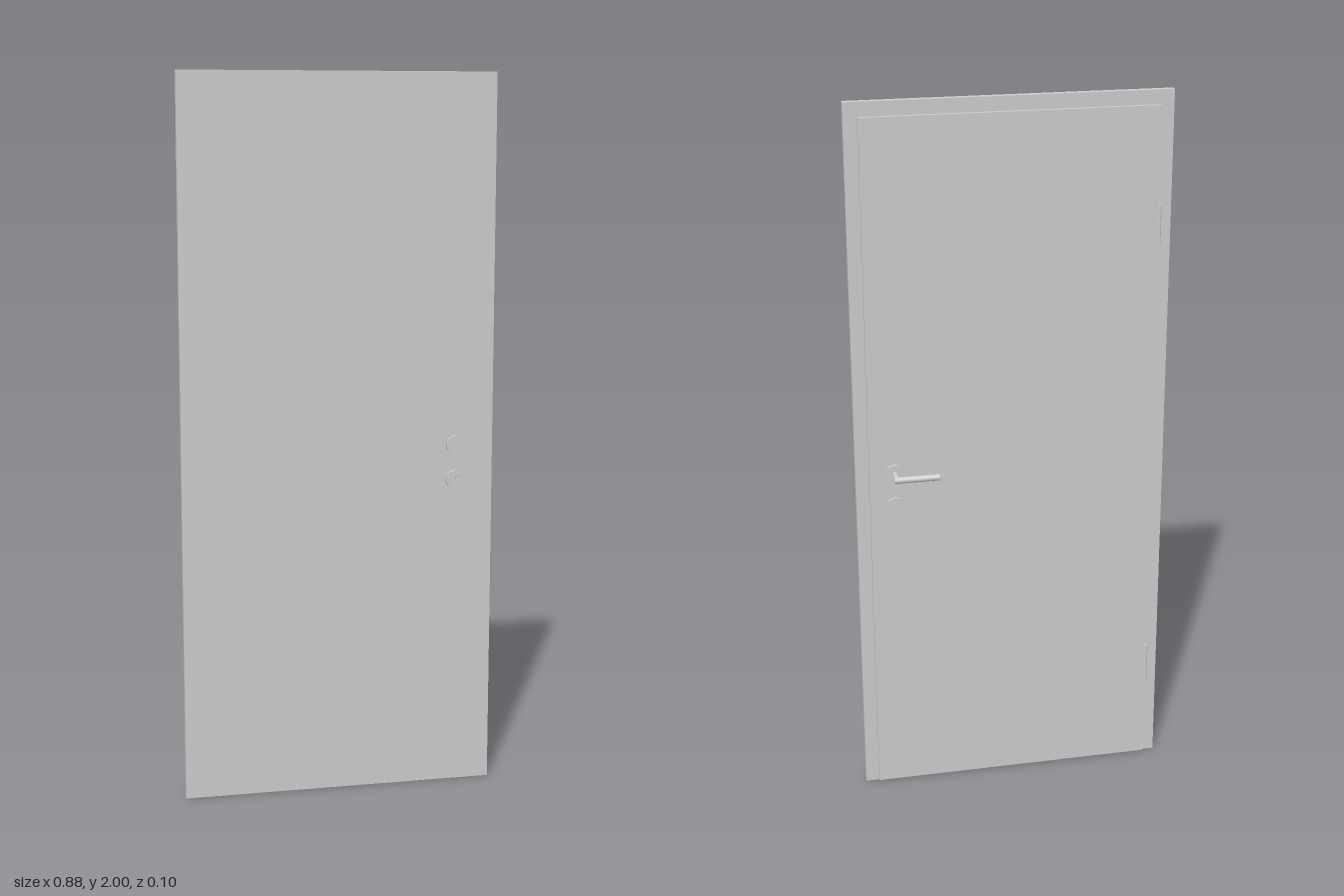
import * as THREE from 'three';

const material = new THREE.MeshStandardMaterial({ color: 0xcccccc });
const HX = 0.331, HANDLE_Y = 0.978, KEY_Y = 0.88, ROD = 0.009, LEVER_Z = -0.041;
const FRONT = 0.038, MID = 0.019, BACK = 0.008;

export function createModel() {
  const door = new THREE.Group();
  door.name = 'door';

  const add = (name, geometry, x = 0, y = 0, z = 0) => {
    const mesh = new THREE.Mesh(geometry, material);
    mesh.name = name;
    mesh.position.set(x, y, z);
    door.add(mesh);
    return mesh;
  };

  // Wide front panel and the smaller rebated leaf behind it
  add('frontPanel', new THREE.BoxGeometry(0.876, 2, FRONT - MID), 0, 1, (FRONT + MID) / 2);
  add('backLeaf', new THREE.BoxGeometry(0.802, 1.957, MID - BACK), 0, 0.9825, (MID + BACK) / 2);

  // Hinge barrels along the edge of the leaf
  for (const y of [0.305, 1.64]) {
    add('hinge', new THREE.CylinderGeometry(0.005, 0.005, 0.11, 16), -0.405, y, 0.014);
  }

  // Keyhole outline: round top with a narrower straight slot below
  const keyhole = (scale) => {
    const r = 0.0075 * scale, w = 0.0045 * scale, h = 0.014 * scale;
    const a = -Math.acos(w / r);
    const path = new THREE.Shape();
    path.moveTo(-w, -h);
    path.lineTo(w, -h);
    path.absarc(0, 0.005, r, a, Math.PI - a, false);
    path.closePath();
    return path;
  };

  // Roses on both faces: a plain pair for the handle, a pierced pair for the lock
  const sides = [
    { name: 'front', z: FRONT, depth: 0.009 },
    { name: 'back', z: 0, depth: BACK },
  ];
  for (const { name, z, depth } of sides) {
    const rose = new THREE.CylinderGeometry(0.027, 0.027, depth, 40).rotateX(Math.PI / 2);
    add(name + 'HandleRose', rose, HX, HANDLE_Y, z + depth / 2);

    const ring = new THREE.Shape().absarc(0, 0, 0.027, 0, Math.PI * 2, false);
    ring.holes.push(keyhole(1));
    add(name + 'KeyRose', new THREE.ExtrudeGeometry(ring, { depth, bevelEnabled: false, curveSegments: 24 }), HX, KEY_Y, z);

    // Lock barrel set slightly below the rose face, with a key slot
    const barrel = keyhole(0.9);
    const slot = new THREE.Path();
    slot.moveTo(-0.001, 0);
    slot.lineTo(-0.001, 0.009);
    slot.lineTo(0.001, 0.009);
    slot.lineTo(0.001, 0);
    slot.closePath();
    barrel.holes.push(slot);
    const core = new THREE.ExtrudeGeometry(barrel, { depth: depth - 0.002, bevelEnabled: false });
    add(name + 'LockBarrel', core, HX, KEY_Y, name === 'front' ? z : z + 0.002);
  }

  // Round rod with one end cut at 45 degrees for the mitred handle corner
  const mitredRod = (length) => {
    const g = new THREE.CylinderGeometry(ROD, ROD, length, 24);
    g.translate(0, -length / 2, 0);
    const p = g.attributes.position;
    const n = g.attributes.normal;
    for (let i = 0; i < p.count; i++) {
      if (p.getY(i) < -1e-6) continue;
      p.setY(i, p.getX(i));
      if (n.getY(i) > 0.9) n.setXYZ(i, -Math.SQRT1_2, Math.SQRT1_2, 0);
    }
    return g;
  };

  // Neck runs back from the rose, lever turns toward the hinge side
  const neck = mitredRod(-LEVER_Z + 0.002);
  neck.rotateX(-Math.PI / 2);
  add('handleNeck', neck, HX, HANDLE_Y, LEVER_Z);
  const lever = mitredRod(HX - 0.215);
  lever.rotateZ(-Math.PI / 2).rotateX(Math.PI / 2);
  add('handleLever', lever, HX, HANDLE_Y, LEVER_Z);

  return door;
}
